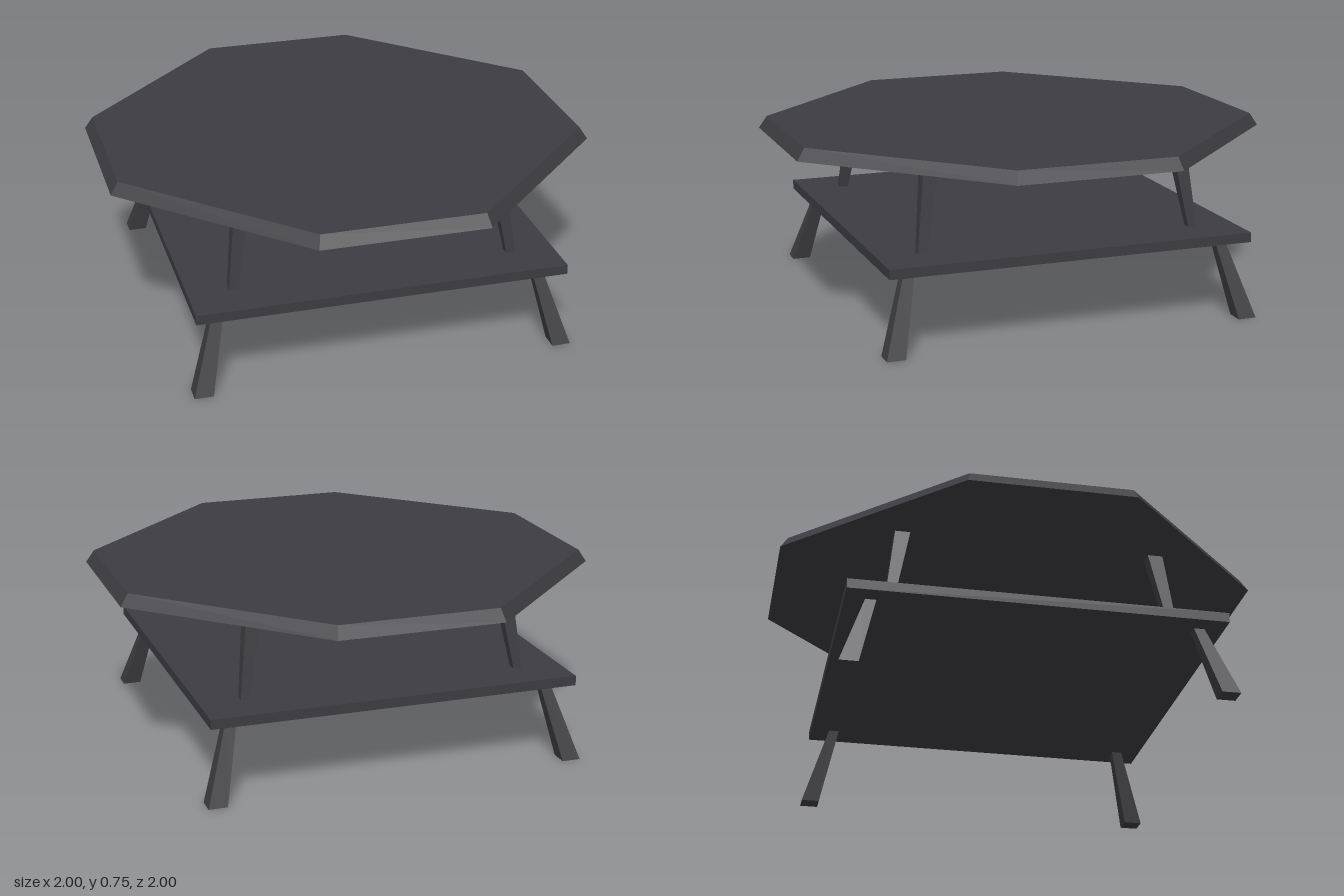
import * as THREE from 'three';

// Closed solid between a lower and an upper ring of [x, z] corners
function prism(lower, upper, y0, y1) {
  const n = lower.length;
  const pos = [];
  const low = (i) => [lower[i % n][0], y0, lower[i % n][1]];
  const up = (i) => [upper[i % n][0], y1, upper[i % n][1]];
  for (let i = 0; i < n; i++) {
    pos.push(...low(i), ...up(i), ...up(i + 1), ...low(i), ...up(i + 1), ...low(i + 1));
    if (i > 0 && i < n - 1) {
      pos.push(...up(0), ...up(i + 1), ...up(i));
      pos.push(...low(0), ...low(i), ...low(i + 1));
    }
  }
  const g = new THREE.BufferGeometry();
  g.setAttribute('position', new THREE.Float32BufferAttribute(pos, 3));
  g.computeVertexNormals();
  return g;
}

// Rings run from +x towards +z
const octagon = (r, c) => [
  [r, -c], [r, c], [c, r], [-c, r], [-r, c], [-r, -c], [-c, -r], [c, -r],
];
// Square with both coordinates between a and b, in the quadrant sx, sz
const square = (a, b, sx, sz) => {
  const ring = [[b, a], [b, b], [a, b], [a, a]].map(([x, z]) => [x * sx, z * sz]);
  return sx * sz < 0 ? ring.reverse() : ring;
};

export function createModel() {
  const group = new THREE.Group();
  const wood = new THREE.MeshStandardMaterial({ color: 0x3d3c42 });
  wood.name = 'darkWood';
  wood.flatShading = true;

  const add = (name, geometry) => {
    const mesh = new THREE.Mesh(geometry, wood);
    mesh.name = name;
    group.add(mesh);
    return mesh;
  };

  // Octagonal top with a bevelled rim
  add('tableTop', prism(octagon(1, 0.337), octagon(0.968, 0.326), 0.7, 0.75));

  // Square lower shelf
  add('shelf', new THREE.BoxGeometry(1.522, 0.04, 1.522)).position.y = 0.336;

  // Splayed, tapered legs at each corner
  for (const [sx, side] of [[1, 'Left'], [-1, 'Right']]) {
    for (const [sz, end] of [[1, 'front'], [-1, 'back']]) {
      add(`${end}${side}LowerLeg`,
        prism(square(0.707, 0.783, sx, sz), square(0.637, 0.681, sx, sz), 0, 0.316));
      add(`${end}${side}UpperLeg`,
        prism(square(0.56, 0.596, sx, sz), square(0.495, 0.557, sx, sz), 0.356, 0.7));
    }
  }
  return group;
}
